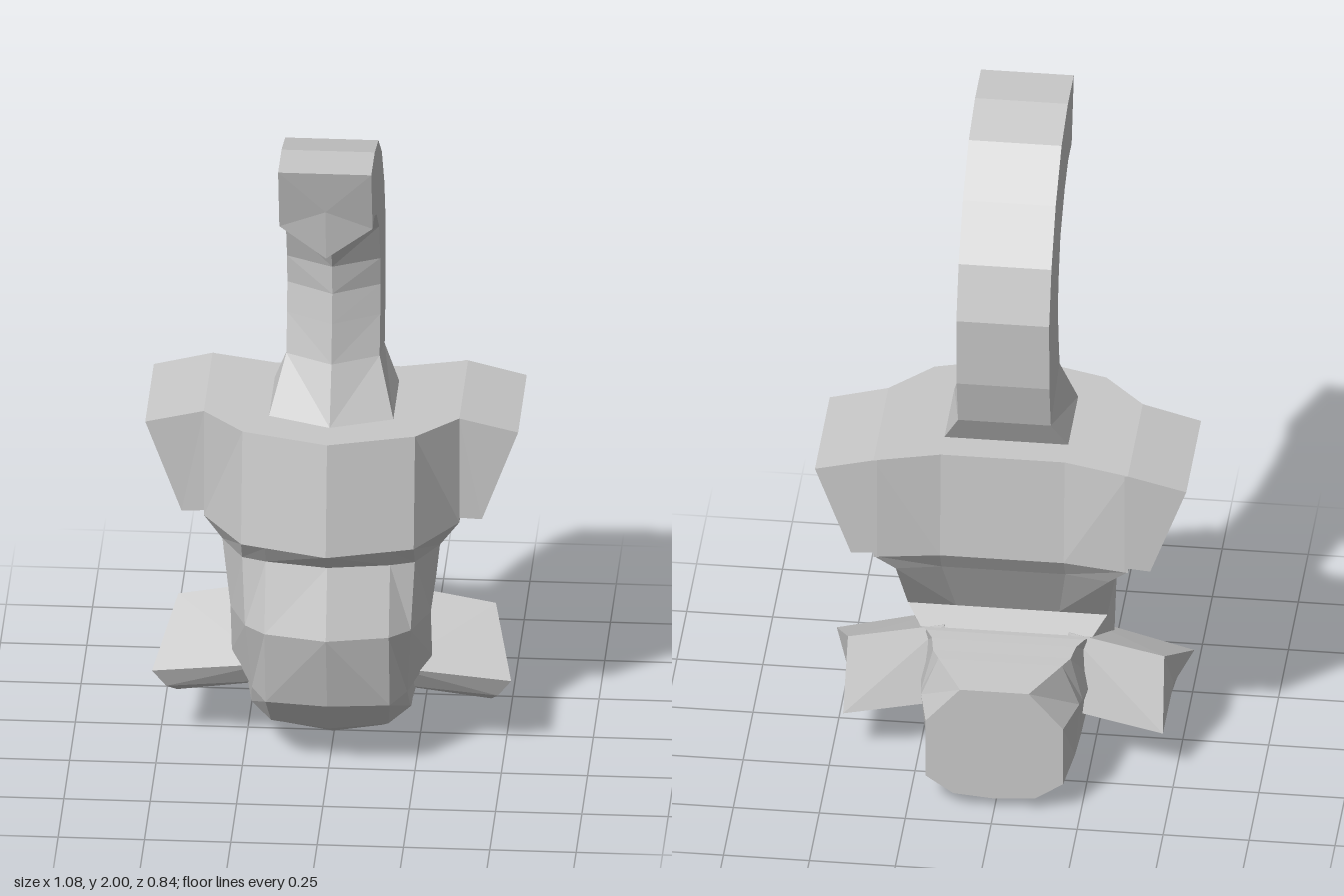
import * as THREE from 'three';

const grey = new THREE.MeshStandardMaterial({ color: 0xc8c8c8, flatShading: true, side: THREE.DoubleSide });
grey.name = 'plain grey';

// Skins a row of equal-length loops of [x, y, z] points and caps both ends.
function loft(name, loops) {
  const pos = [];
  const tri = (a, b, c) => pos.push(...a, ...b, ...c);
  const n = loops[0].length;
  for (let i = 0; i < loops.length - 1; i++) {
    for (let j = 0; j < n; j++) {
      const k = (j + 1) % n;
      const a = loops[i][j], b = loops[i][k], c = loops[i + 1][k], d = loops[i + 1][j];
      // split quads the mirrored way on the far half so both sides match
      if (j < n / 2) { tri(a, b, c); tri(a, c, d); } else { tri(a, b, d); tri(b, c, d); }
    }
  }
  const cap = (loop, flip) => {
    const mid = [0, 1, 2].map((q) => loop.reduce((s, p) => s + p[q], 0) / n);
    loop.forEach((p, j) => {
      const r = loop[(j + 1) % n];
      if (flip) tri(mid, r, p); else tri(mid, p, r);
    });
  };
  cap(loops[0], true);
  cap(loops[loops.length - 1], false);

  // turn the skin outward if its signed volume is negative
  let volume = 0;
  const v = (i) => new THREE.Vector3().fromArray(pos, i);
  for (let i = 0; i < pos.length; i += 9) volume += v(i).dot(v(i + 3).cross(v(i + 6)));
  if (volume < 0) {
    for (let i = 0; i < pos.length; i += 9) {
      for (let q = 0; q < 3; q++) [pos[i + 3 + q], pos[i + 6 + q]] = [pos[i + 6 + q], pos[i + 3 + q]];
    }
  }
  const geo = new THREE.BufferGeometry();
  geo.setAttribute('position', new THREE.Float32BufferAttribute(pos, 3));
  geo.computeVertexNormals();
  const mesh = new THREE.Mesh(geo, grey);
  mesh.name = name;
  return mesh;
}

// Completes a half section (first point on the centre line) by mirroring in x.
const mirrored = (half) => [...half, ...half.slice(1).reverse().map(([x, y, z]) => [-x, y, z])];
const flip = (loops) => loops.map((loop) => loop.map(([x, y, z]) => [-x, y, z]));
const level = (y, pts) => pts.map(([x, z]) => [x, y, z]);

export function createModel() {
  const model = new THREE.Group();

  // Neck: five-sided sections; each row is ridge z,y / inner side z,y / outer z,y / half width
  const neck = [
    [0.206, 1.075, 0.138, 1.075, -0.115, 1.075, 0.18],
    [0.127, 1.24, 0.058, 1.24, -0.164, 1.17, 0.135],
    [0.105, 1.36, 0.03, 1.36, -0.2, 1.32, 0.135],
    [0.09, 1.45, 0.016, 1.45, -0.206, 1.54, 0.135],
    [0.095, 1.54, 0.03, 1.54, -0.148, 1.7, 0.135],
    [0.138, 1.62, 0.08, 1.667, -0.04, 1.85, 0.135],
    [0.19, 1.656, 0.19, 1.76, 0.11, 1.96, 0.135],
    [0.28, 1.69, 0.28, 1.8, 0.27, 2, 0.135],
    [0.365, 1.7, 0.365, 1.8, 0.42, 2, 0.135],
  ];
  model.add(loft('neck', neck.map(([rz, ry, iz, iy, oz, oy, w]) =>
    mirrored([[0, ry, rz], [w, iy, iz], [w, oy, oz]]))));

  // Chest block
  model.add(loft('chest', [
    mirrored(level(1.075, [[0, 0.32], [0.25, 0.246], [0.37, 0.12], [0.37, -0.26], [0.18, -0.208]])),
    mirrored(level(0.74, [[0, 0.378], [0.25, 0.304], [0.37, 0.12], [0.37, -0.26], [0.18, -0.23]])),
  ]));

  // Body: bends from upright under the chest to a tail pointing back
  model.add(loft('body', [
    level(0.74, [[0, 0.375], [0.18, 0.325], [0.25, 0.304], [0.37, 0.12], [0.37, -0.255], [0.18, -0.23]]),
    level(0.675, [[0, 0.31], [0.18, 0.28], [0.25, 0.255], [0.315, 0.137], [0.31, -0.215], [0.18, -0.19]]),
    level(0.47, [[0, 0.378], [0.18, 0.34], [0.24, 0.286], [0.29, 0.16], [0.29, -0.08], [0.15, -0.08]]),
    [[0, 0.23, 0.315], [0.18, 0.23, 0.295], [0.225, 0.235, 0.21], [0.29, 0.3, 0.1], [0.25, 0.41, -0.11], [0.12, 0.41, -0.11]],
    [[0, 0.108, 0.21], [0.17, 0.125, 0.2], [0.23, 0.16, 0.15], [0.27, 0.27, 0], [0.23, 0.412, -0.13], [0.12, 0.412, -0.13]],
    [[0, 0.022, 0.05], [0.14, 0.045, 0.05], [0.225, 0.1, 0.03], [0.25, 0.25, -0.09], [0.21, 0.412, -0.17], [0.11, 0.412, -0.17]],
    [[0, 0, -0.11], [0.14, 0.026, -0.12], [0.22, 0.09, -0.14], [0.235, 0.27, -0.23], [0.2, 0.41, -0.23], [0.1, 0.41, -0.23]],
    [[0, 0.004, -0.25], [0.135, 0.028, -0.25], [0.215, 0.09, -0.25], [0.23, 0.28, -0.27], [0.18, 0.41, -0.27], [0.09, 0.41, -0.27]],
    [[0, 0.035, -0.42], [0.12, 0.045, -0.42], [0.2, 0.1, -0.42], [0.2, 0.29, -0.42], [0.1, 0.405, -0.42], [0.05, 0.405, -0.42]],
  ].map(mirrored)));

  // Shoulder wedges and stub legs, one of each per side
  const shoulder = [
    [[0.36, 1.075, 0.12], [0.36, 1.075, -0.26], [0.36, 0.74, -0.26], [0.36, 0.74, 0.12]],
    [[0.37, 1.075, 0.12], [0.37, 1.075, -0.26], [0.37, 0.755, -0.26], [0.37, 0.755, 0.12]],
    [[0.54, 1.033, 0.115], [0.54, 1.033, -0.26], [0.435, 0.75, -0.26], [0.435, 0.75, 0.115]],
  ];
  const leg = [
    [[0.18, 0.29, 0.17], [0.18, 0.42, -0.11], [0.15, 0.2, -0.17], [0.15, 0.18, 0.03], [0.15, 0.22, 0.13]],
    [[0.52, 0.233, 0.12], [0.46, 0.365, -0.12], [0.465, 0.15, -0.2], [0.455, 0.116, 0], [0.48, 0.175, 0.1]],
  ];
  model.add(loft('leftShoulder', shoulder), loft('rightShoulder', flip(shoulder)));
  model.add(loft('leftLeg', leg), loft('rightLeg', flip(leg)));
  return model;
}
